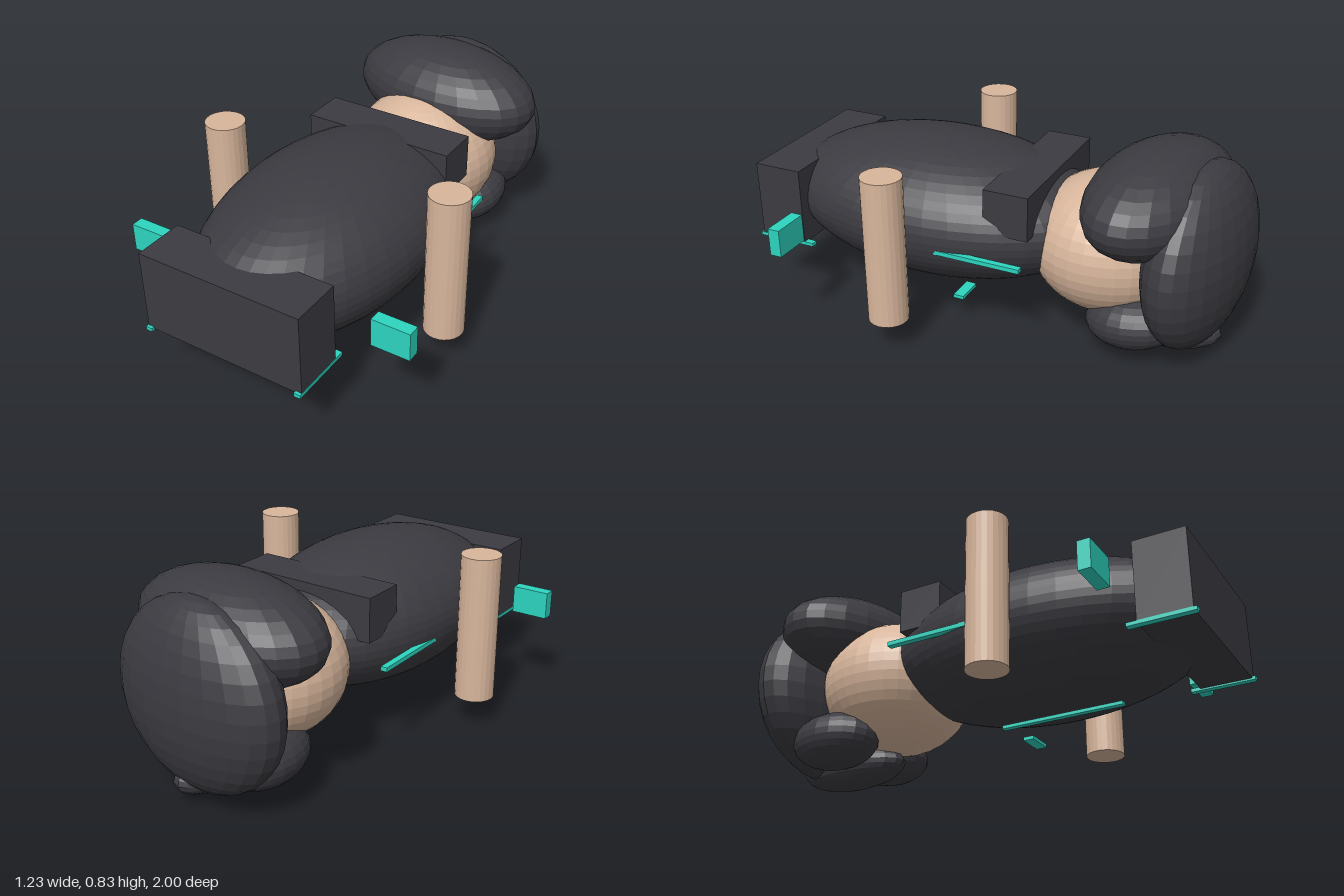
import * as THREE from 'three';

const flat = (name, color) => {
  const m = new THREE.MeshStandardMaterial({ color });
  m.name = name;
  m.flatShading = true;
  return m;
};

export function createModel() {
  const group = new THREE.Group();
  const dark = flat('charcoal', 0x3c3b41);
  const skin = flat('skin', 0xd8b69c);
  const teal = flat('teal', 0x2dd4bf);

  const add = (name, geometry, material, pos, rot = [0, 0, 0]) => {
    const mesh = new THREE.Mesh(geometry, material);
    mesh.name = name;
    mesh.position.set(...pos);
    mesh.rotation.set(...rot);
    group.add(mesh);
    return mesh;
  };
  const ellipsoid = (name, material, pos, radii, rot, seg = 32) =>
    add(name, new THREE.SphereGeometry(1, seg, Math.round(seg * 0.7)).scale(...radii), material, pos, rot);
  // box given by its lower and upper limits on each axis
  const block = (name, material, [x0, x1], [y0, y1], [z0, z1]) =>
    add(name, new THREE.BoxGeometry(x1 - x0, y1 - y0, z1 - z0), material,
      [(x0 + x1) / 2, (y0 + y1) / 2, (z0 + z1) / 2]);

  // torso, foot block and collar
  ellipsoid('torso', dark, [0, 0.435, 0.285], [0.415, 0.29, 0.7], undefined, 40);
  block('footBlock', dark, [-0.34, 0.34], [0.262, 0.59], [0.78, 0.987]);
  block('collar', dark, [-0.32, 0.32], [0.488, 0.67], [-0.23, -0.045]);

  // head and hair clumps
  ellipsoid('head', skin, [0, 0.4, -0.45], [0.315, 0.28, 0.32]);
  ellipsoid('hairTop', dark, [0, 0.63, -0.64], [0.435, 0.2, 0.255], [0, -0.14, 0], 24);
  ellipsoid('hairBack', dark, [0, 0.42, -0.815], [0.4, 0.37, 0.178], [0, -0.12, 0], 24);
  ellipsoid('hairClumpLeft', dark, [0.17, 0.165, -0.61], [0.145, 0.11, 0.185], [0.1, 0, 0.1], 20);
  ellipsoid('hairClumpRight', dark, [-0.155, 0.155, -0.65], [0.14, 0.115, 0.2], [0, 0, -0.1], 20);
  ellipsoid('hairClumpMiddle', dark, [0.025, 0.092, -0.68], [0.11, 0.088, 0.25], undefined, 20);

  // mirrored arms, hand pads and trim
  for (const [side, s] of [['left', 1], ['right', -1]]) {
    const span = (a, b) => (s > 0 ? [a, b] : [-b, -a]);
    add(side + 'Arm', new THREE.CylinderGeometry(0.081, 0.081, 0.61, 24), skin, [s * 0.505, 0.435, 0.28]);
    block(side + 'HandPad', teal, span(0.46, 0.615), [0.355, 0.47], [0.69, 0.74]);
    block(side + 'SideStrip', teal, span(0.373, 0.4), [0.392, 0.41], [-0.23, 0.13]);
    block(side + 'FootTrim', teal, span(0.315, 0.342), [0.255, 0.27], [0.74, 1]);
  }

  // trim under the torso
  block('lowerStrip', teal, [-0.012, 0.012], [0.12, 0.134], [0.065, 0.58]);
  block('lowerTab', teal, [0.128, 0.245], [0.113, 0.128], [0.085, 0.13]);

  return group;
}
